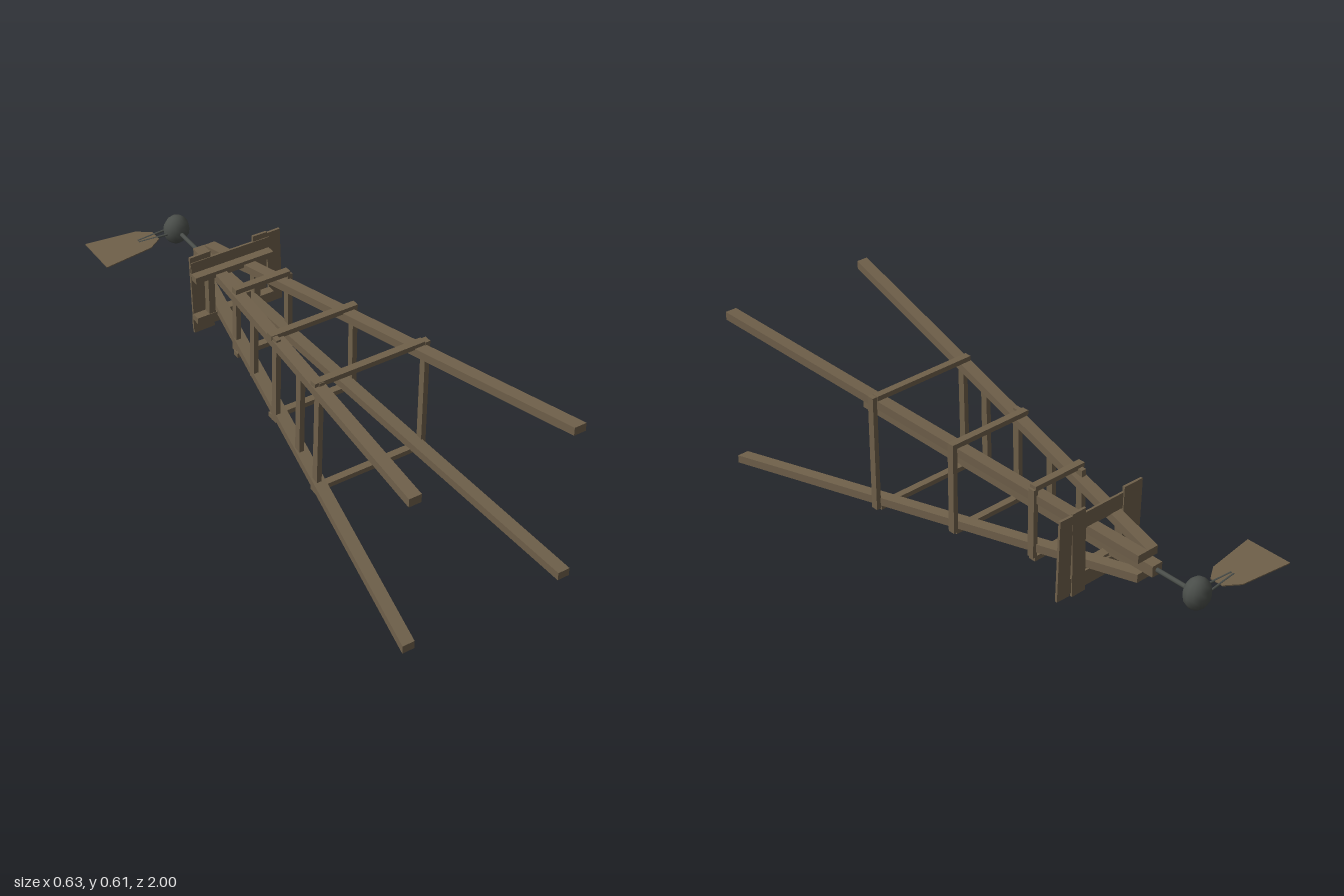
import * as THREE from 'three';

const CX = 0.004, CY = 0.306; // tower axis, running along z

export function createModel() {
  const root = new THREE.Group();
  root.name = 'fallenWindmillTower';
  const wood = new THREE.MeshStandardMaterial({ color: 0x6f604a });
  wood.name = 'weathered wood';
  const metal = new THREE.MeshStandardMaterial({ color: 0x4a4e4a });
  metal.name = 'dark metal';
  const thinWood = wood;

  const add = (name, geo, mat, x = 0, y = 0, z = 0) => {
    const m = new THREE.Mesh(geo, mat);
    m.name = name;
    m.position.set(x, y, z);
    root.add(m);
    return m;
  };
  // Box given by its limits on each axis
  const slab = (name, x0, x1, y0, y1, z0, z1, mat = wood) =>
    add(name, new THREE.BoxGeometry(x1 - x0, y1 - y0, z1 - z0), mat,
      (x0 + x1) / 2, (y0 + y1) / 2, (z0 + z1) / 2);
  // Round rod between two points
  const rod = (name, a, b, r, mat) => {
    const d = b.clone().sub(a);
    const m = add(name, new THREE.CylinderGeometry(r, r, d.length(), 8), mat);
    m.position.copy(a).add(b).multiplyScalar(0.5);
    m.quaternion.setFromUnitVectors(new THREE.Vector3(0, 1, 0), d.normalize());
  };

  // Four legs: boxes sheared so they converge towards the tip
  for (const sx of [-1, 1]) for (const sy of [-1, 1]) {
    const geo = new THREE.BoxGeometry(0.043, 0.03, 1.71);
    const p = geo.attributes.position;
    for (let i = 0; i < p.count; i++) {
      const foot = p.getZ(i) > 0;
      p.setX(i, p.getX(i) + sx * (foot ? 0.289 : 0.021));
      p.setY(i, p.getY(i) + sy * (foot ? 0.29 : 0.035));
    }
    geo.computeVertexNormals();
    add('leg', geo, wood, CX, CY, 0.145);
  }

  // Cross rails on the upper and lower sides: z, half length, distance from axis
  for (const [z, half, off] of [[0.332, 0.203, 0.212], [0, 0.158, 0.163], [-0.315, 0.106, 0.132]])
    for (const s of [-1, 1])
      slab('crossRail', CX - half, CX + half, CY + s * off - 0.009, CY + s * off + 0.009, z - 0.013, z + 0.013);

  // Uprights on the model's left side: z, x, lower and upper end
  for (const [z, x, y0, y1] of [[0.335, 0.216, 0.09, 0.525], [0, 0.165, 0.14, 0.478], [-0.315, 0.109, 0.18, 0.435]])
    slab('sideRail', x - 0.009, x + 0.009, y0, y1, z - 0.013, z + 0.013);

  // Ladder rungs on the other side, each a little crooked
  for (const [z, x, y0, y1] of [[0.335, -0.181, 0.09, 0.525], [0.2, -0.163, 0.115, 0.468],
    [0.025, -0.145, 0.14, 0.475], [-0.168, -0.113, 0.18, 0.42], [-0.332, -0.085, 0.175, 0.435]])
    slab('ladderRung', x - 0.009, x + 0.009, y0, y1, z - 0.013, z + 0.013).rotation.z = -0.02;

  // Platform: support beams below, thin planks on top
  for (const s of [-1, 1]) {
    const y = CY + s * 0.084;
    slab('platformBeam', -0.15, 0.155, y - 0.012, y + 0.012, -0.52, -0.488);
    slab('platformPlank', -0.15, 0.16, CY + s * 0.11 - 0.028, CY + s * 0.11 + 0.028, -0.528, -0.52, thinWood);
    const x = s * 0.09;
    slab('platformJoist', x - 0.012, x + 0.012, 0.22, 0.40, -0.518, -0.49);
  }
  for (const [x, w, y0, y1, tilt] of [[-0.109, 0.08, 0.15, 0.465, 0.02], [0.12, 0.056, 0.155, 0.465, -0.02], [0.18, 0.053, 0.165, 0.46, 0.025]])
    slab('platformPlank', x - w / 2, x + w / 2, y0, y1, -0.532, -0.523, thinWood).rotation.z = tilt;

  // Central mast and rotor shaft
  slab('mast', -0.018, 0.024, CY - 0.02, CY + 0.02, -0.75, -0.42);
  rod('shaft', new THREE.Vector3(CX, CY, -0.74), new THREE.Vector3(CX, CY, -0.9), 0.008, metal);

  // Hub housing
  const hub = add('hub', new THREE.SphereGeometry(1, 12, 8), metal, CX, 0.308, -0.914);
  hub.scale.set(0.049, 0.056, 0.042);

  // Tail vane and its two struts
  const vane = new THREE.Shape([[-0.318, 1], [-0.318, 0.83], [-0.13, 0.856], [-0.08, 0.89], [-0.08, 0.94], [-0.13, 0.976]]
    .map(([x, y]) => new THREE.Vector2(x, y)));
  const tail = add('tailVane', new THREE.ExtrudeGeometry(vane, { depth: 0.004, bevelEnabled: false }), thinWood, 0, 0.305, 0);
  tail.rotation.x = -Math.PI / 2;
  for (const s of [-1, 1])
    rod('tailStrut', new THREE.Vector3(-0.03, 0.307, -0.916 + s * 0.016),
      new THREE.Vector3(-0.15, 0.307, -0.916 + s * 0.005), 0.004, metal);

  return root;
}
